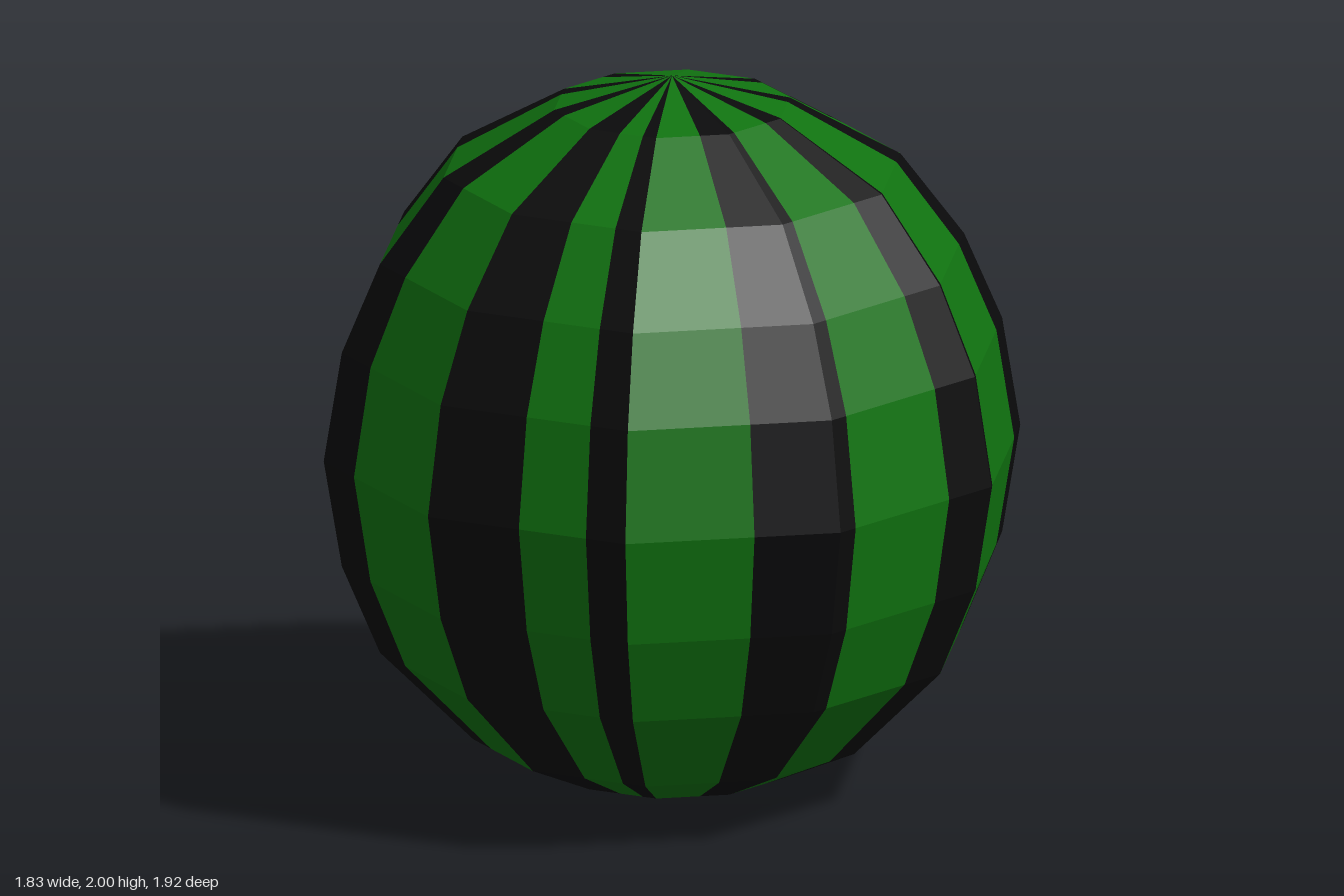
import * as THREE from 'three';

const SIDES = 10;

// Rind profile, bottom to top: [radius at the corners, height]
const PROFILE = [
  [0, 0], [0.325, 0.05], [0.547, 0.15], [0.805, 0.41], [0.91, 0.66], [0.96, 0.96],
  [0.91, 1.265], [0.805, 1.51], [0.63, 1.745], [0.325, 1.92], [0, 2],
];

// Dark stripes as [start, end], counted in sides around from the front corner
const STRIPES = [
  [0, 0.46], [0.8, 1], [1.6, 2.1], [2.72, 3.03], [3.79, 4],
  [4.79, 5], [7, 7.25], [8, 8.26], [9, 9.29],
];

// Point on the ten-sided ring: u = side index + fraction along that side
function ringPoint(side, fraction, [radius, y]) {
  const a = (side / SIDES) * Math.PI * 2;
  const b = ((side + 1) / SIDES) * Math.PI * 2;
  return [
    radius * THREE.MathUtils.lerp(Math.sin(a), Math.sin(b), fraction),
    y,
    radius * THREE.MathUtils.lerp(Math.cos(a), Math.cos(b), fraction),
  ];
}

// Pole-to-pole strip lying between two positions around the rind
function addStrip(out, start, end) {
  const side = Math.floor(start + 1e-6);
  const f0 = start - side, f1 = end - side;
  for (let i = 0; i < PROFILE.length - 1; i++) {
    const low = PROFILE[i], high = PROFILE[i + 1];
    const a = ringPoint(side, f0, low), b = ringPoint(side, f1, low);
    const c = ringPoint(side, f1, high), d = ringPoint(side, f0, high);
    if (low[0] > 0) out.push(...a, ...b, ...c);
    if (high[0] > 0) out.push(...a, ...c, ...d);
    if (high[0] === 0) continue;
  }
}

function makeMesh(name, positions, material) {
  const geometry = new THREE.BufferGeometry();
  geometry.setAttribute('position', new THREE.Float32BufferAttribute(positions, 3));
  geometry.computeVertexNormals(); // unshared corners give flat facets
  const mesh = new THREE.Mesh(geometry, material);
  mesh.name = name;
  return mesh;
}

export function createModel() {
  const group = new THREE.Group();
  group.name = 'watermelon';

  const green = new THREE.MeshStandardMaterial({ color: 0x107310 });
  green.name = 'rindGreen';
  const dark = new THREE.MeshStandardMaterial({ color: 0x0a0a0b });
  dark.name = 'stripeBlack';

  // Cut the circumference at every corner and every stripe edge
  const corners = Array.from({ length: SIDES + 1 }, (_, i) => i);
  const cuts = [...new Set([...corners, ...STRIPES.flat()])].sort((a, b) => a - b);

  const rind = [], stripes = [];
  for (let i = 0; i < cuts.length - 1; i++) {
    const middle = (cuts[i] + cuts[i + 1]) / 2;
    const striped = STRIPES.some(([s, e]) => middle > s && middle < e);
    addStrip(striped ? stripes : rind, cuts[i], cuts[i + 1]);
  }

  group.add(makeMesh('rind', rind, green), makeMesh('stripes', stripes, dark));
  return group;
}
